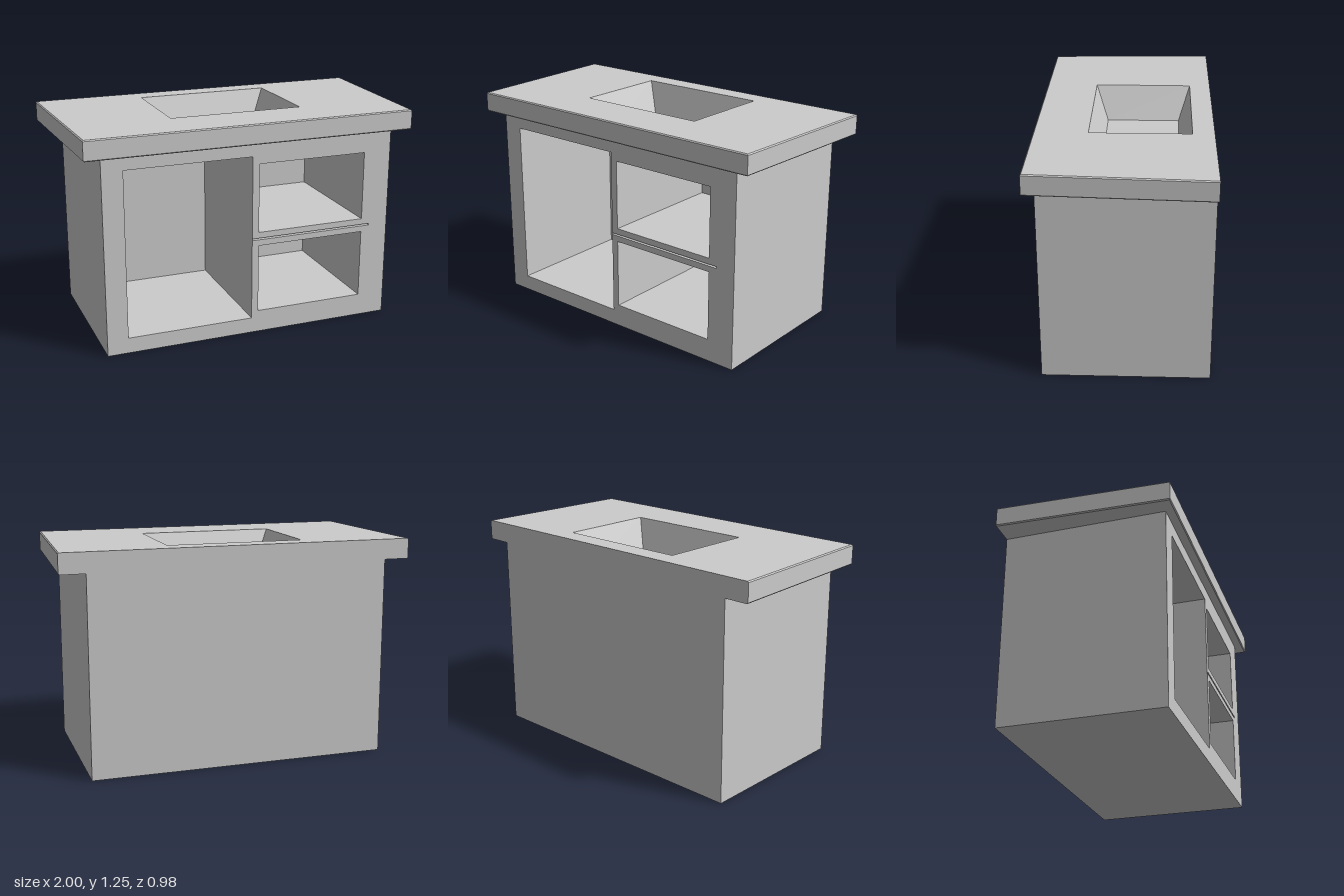
import * as THREE from 'three';

const FRONT = 0.435, BACK = -0.49, HALF = 0.855, UNDER = 1.135, TOP = 1.25;
const CAVITY_BACK = -0.345;

// Four-corner ring at height y, counter-clockwise seen from above
const level = (y, xFront, xBack, zFront, zBack) => [
  [-xFront, y, zFront], [xFront, y, zFront], [xBack, y, zBack], [-xBack, y, zBack],
];

// Upright four-corner ring at depth z, counter-clockwise seen from the front
const upright = ([x0, y0, x1, y1], z) => [[x0, y0, z], [x1, y0, z], [x1, y1, z], [x0, y1, z]];

// Flat-faced surface through successive rings; can leave out one side and cap the last ring
function loft(rings, { cap = false, skipSide = -1 } = {}) {
  const pos = [];
  const quad = (a, b, c, d) => pos.push(...a, ...b, ...c, ...a, ...c, ...d);
  for (let r = 0; r + 1 < rings.length; r++) {
    const lo = rings[r], hi = rings[r + 1];
    for (let i = 0; i < 4; i++) {
      const j = (i + 1) % 4;
      if (i !== skipSide) quad(lo[i], lo[j], hi[j], hi[i]);
    }
  }
  if (cap) quad(...rings[rings.length - 1]);
  const geo = new THREE.BufferGeometry();
  geo.setAttribute('position', new THREE.Float32BufferAttribute(pos, 3));
  geo.computeVertexNormals();
  return geo;
}

export function createModel() {
  const group = new THREE.Group();
  const material = new THREE.MeshStandardMaterial({ color: 0xcccccc, flatShading: true });
  const add = (name, geometry) => {
    const mesh = new THREE.Mesh(geometry, material);
    mesh.name = name;
    group.add(mesh);
  };

  // Cabinet sides and back, with the front left for the pierced panel
  const foot = level(0, HALF, HALF, FRONT, BACK);
  const head = level(UNDER, HALF, HALF, FRONT, BACK);
  add('cabinetWalls', loft([foot, head], { skipSide: 0 }));
  add('cabinetBase', loft([[...foot].reverse()], { cap: true }));

  // Front openings as [x0, y0, x1, y1]
  const openings = {
    tallCompartment: [-0.735, 0.09, 0, 1.055],
    upperCompartment: [0.04, 0.61, 0.69, 1.01],
    lowerCompartment: [0.04, 0.13, 0.69, 0.53],
    shelfSlot: [0.002, 0.565, 0.74, 0.575],
  };
  const outline = (rect, Kind) =>
    new Kind(upright(rect, 0).map(([x, y]) => new THREE.Vector2(x, y)));
  const panel = outline([-HALF, 0, HALF, UNDER], THREE.Shape);
  for (const [name, rect] of Object.entries(openings)) {
    panel.holes.push(outline(rect, THREE.Path));
    add(name, loft([upright(rect, FRONT), upright(rect, CAVITY_BACK)], { cap: true }));
  }
  add('frontPanel', new THREE.ShapeGeometry(panel).translate(0, 0, FRONT));

  // Tapered countertop with a fine bevel, running inward to the sink rim and down to its floor
  const e = 0.006;
  const rim = level(TOP, 0.39, 0.39, 0.19, -0.37);
  add('countertop', loft([
    head,
    level(UNDER, 0.955 - e, 1 - e, 0.488 - e, BACK),
    level(UNDER + e, 0.955, 1, 0.488, BACK),
    level(TOP - e, 0.955, 1, 0.488, BACK),
    level(TOP, 0.955 - e, 1 - e, 0.488 - e, BACK),
    rim,
  ]));
  add('sinkBasin', loft([rim, level(1.058, 0.3, 0.3, 0.12, -0.305)], { cap: true }));

  return group;
}
